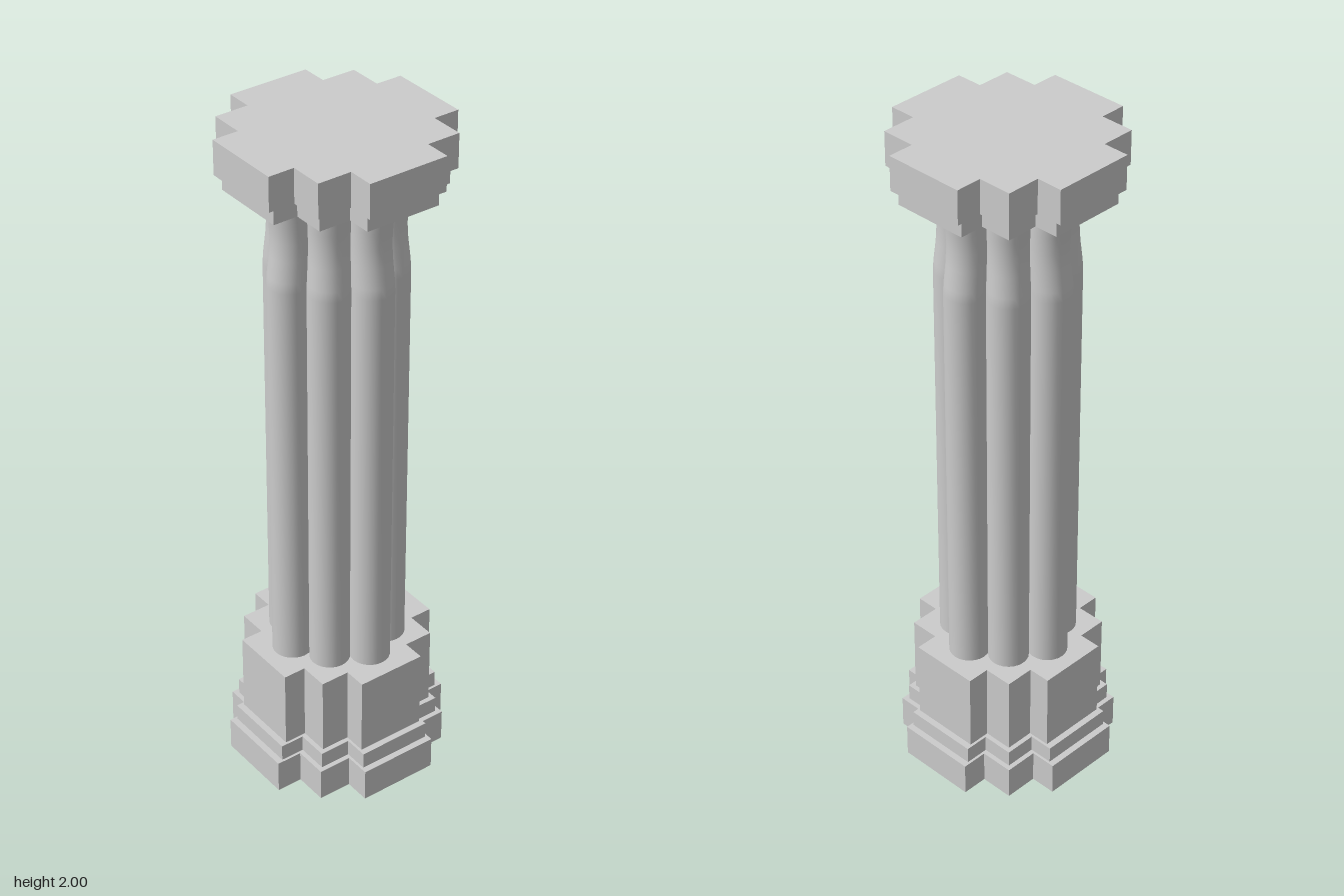
import * as THREE from 'three';

const material = new THREE.MeshStandardMaterial({ color: 0xcccccc });
const blockMaterial = new THREE.MeshStandardMaterial({ color: 0xcccccc, flatShading: true, side: THREE.DoubleSide });

// Stepped cross outline, counter-clockwise seen from above
function crossOutline() {
  const corner = [[0.297, 0.12], [0.22, 0.12], [0.22, 0.22], [0.12, 0.22], [0.12, 0.297]];
  const points = [];
  for (let q = 0; q < 4; q++) {
    for (const [x, y] of corner) {
      points.push(new THREE.Vector2(x, y).rotateAround(new THREE.Vector2(), q * Math.PI / 2));
    }
  }
  return points;
}

// Lofts the cross outline through rings of [height, scale]; scale 0 closes an end
function steppedBlock(name, rings) {
  const outline = crossOutline();
  const n = outline.length;
  const positions = [];
  const at = (ring, i) => {
    const p = outline[i % n];
    return [p.x * ring[1], ring[0], -p.y * ring[1]];
  };
  for (let r = 0; r < rings.length - 1; r++) {
    const low = rings[r], high = rings[r + 1];
    for (let i = 0; i < n; i++) {
      const a = at(low, i), b = at(low, i + 1), c = at(high, i + 1), d = at(high, i);
      if (low[1] > 0) positions.push(...a, ...b, ...c);
      if (high[1] > 0) positions.push(...a, ...c, ...d);
      else if (low[1] > 0) continue;
    }
  }
  const geometry = new THREE.BufferGeometry();
  geometry.setAttribute('position', new THREE.Float32BufferAttribute(positions, 3));
  geometry.computeVertexNormals();
  const mesh = new THREE.Mesh(geometry, blockMaterial);
  mesh.name = name;
  return mesh;
}

// Heights of the shaft and how far it is pinched toward the axis there
const neck = [[0.38, 1], [1.59, 1], [1.62, 0.99], [1.68, 0.955], [1.73, 0.94], [1.78, 0.953], [1.83, 0.98], [1.86, 0.985]];

// One round shaft of the cluster, its seam turned inward
function shaft(angle, distance, radius) {
  const profile = neck.map(([y]) => new THREE.Vector2(radius, y));
  const geometry = new THREE.LatheGeometry(profile, 24, angle + Math.PI);
  geometry.translate(Math.sin(angle) * distance, 0, Math.cos(angle) * distance);
  const p = geometry.attributes.position;
  for (let i = 0; i < p.count; i++) {
    const k = neck[i % neck.length][1];
    p.setX(i, p.getX(i) * k);
    p.setZ(i, p.getZ(i) * k);
  }
  geometry.computeVertexNormals();
  return new THREE.Mesh(geometry, material);
}

export function createModel() {
  const column = new THREE.Group();
  column.name = 'clusteredColumn';

  // Hollow stepped base, open underneath
  column.add(steppedBlock('base', [
    [0, 1], [0.1, 1], [0.1, 0.935], [0.15, 0.935], [0.15, 0.87], [0.39, 0.87], [0.39, 0],
  ]));

  // Eight clustered shafts
  const shafts = new THREE.Group();
  shafts.name = 'shafts';
  for (let i = 0; i < 8; i++) {
    const mesh = shaft(i * Math.PI / 4, i % 2 ? 0.138 : 0.156, 0.058);
    mesh.name = 'shaft' + (i + 1);
    shafts.add(mesh);
  }
  column.add(shafts);

  // Stepped capital
  column.add(steppedBlock('capital', [
    [1.855, 0], [1.855, 0.935], [1.9, 0.935], [1.9, 1], [2, 1], [2, 0],
  ]));

  return column;
}
